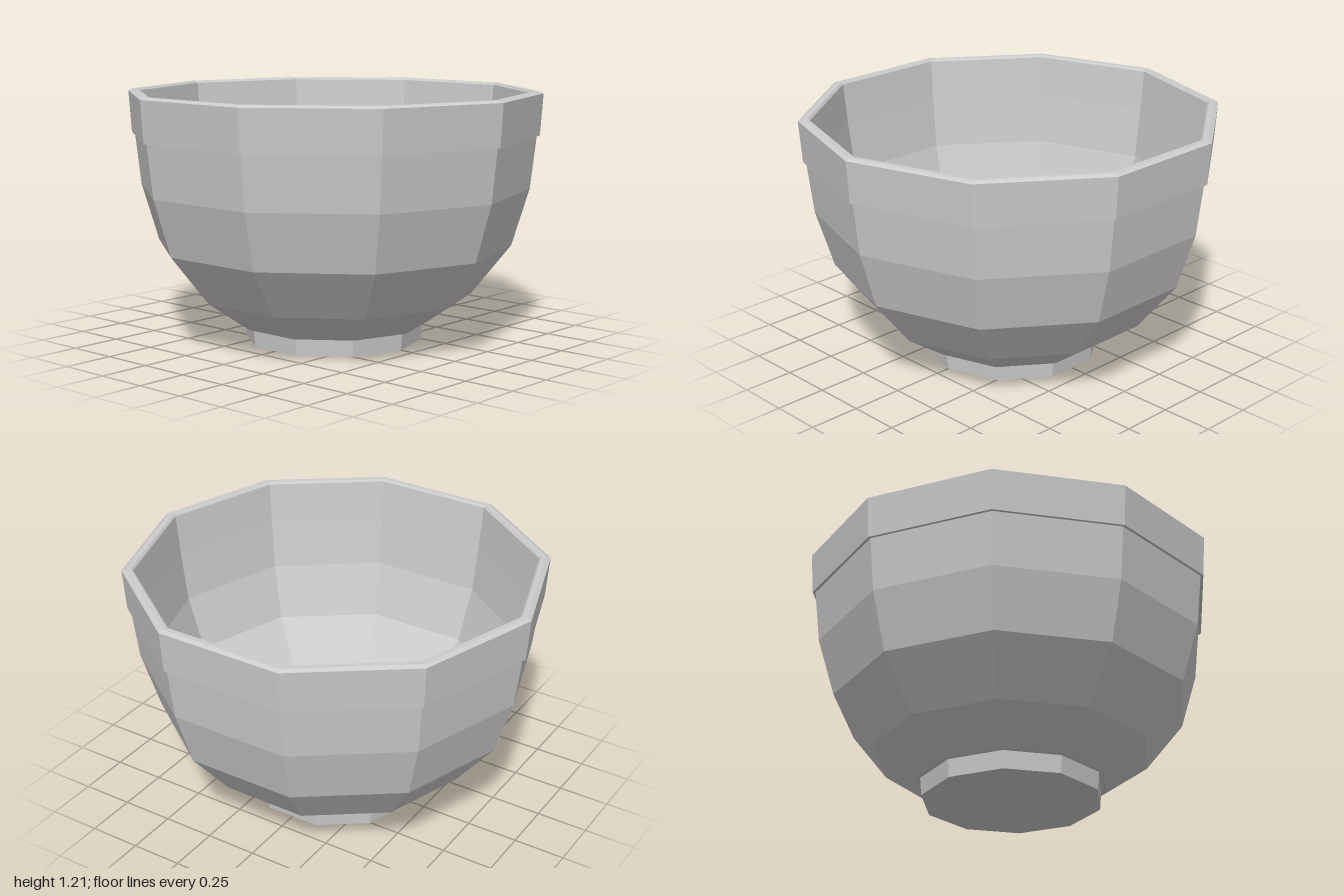
import * as THREE from 'three';

const SIDES = 10;
const material = new THREE.MeshStandardMaterial({ color: 0xcccccc, flatShading: true });

// Ten-sided turned part; profile runs [radius, height], with a corner on +x
function turned(name, profile) {
  const points = profile.map(([r, y]) => new THREE.Vector2(r, y));
  const mesh = new THREE.Mesh(new THREE.LatheGeometry(points, SIDES, Math.PI / 2), material);
  mesh.name = name;
  return mesh;
}

export function createModel() {
  const group = new THREE.Group();
  group.name = 'bowl';

  // Short foot with a flat closed base
  group.add(turned('foot', [[0, 0], [0.43, 0], [0.437, 0.085]]));

  // Outer wall, from the small ledge above the foot up to the rim band
  group.add(turned('outerWall', [
    [0.437, 0.085], [0.46, 0.085], [0.67, 0.23], [0.86, 0.47], [0.943, 0.745], [0.972, 1.0],
  ]));

  // Overhanging rim band with chamfered top edge
  group.add(turned('rim', [
    [0.972, 1.0], [0.986, 1.0], [1.0, 1.2], [0.98, 1.21], [0.955, 1.21], [0.945, 1.2],
  ]));

  // Inner wall, running down to the flat floor
  group.add(turned('innerWall', [
    [0.945, 1.2], [0.925, 1.0], [0.893, 0.755], [0.81, 0.49], [0.61, 0.255], [0.5, 0.18], [0, 0.18],
  ]));

  return group;
}
